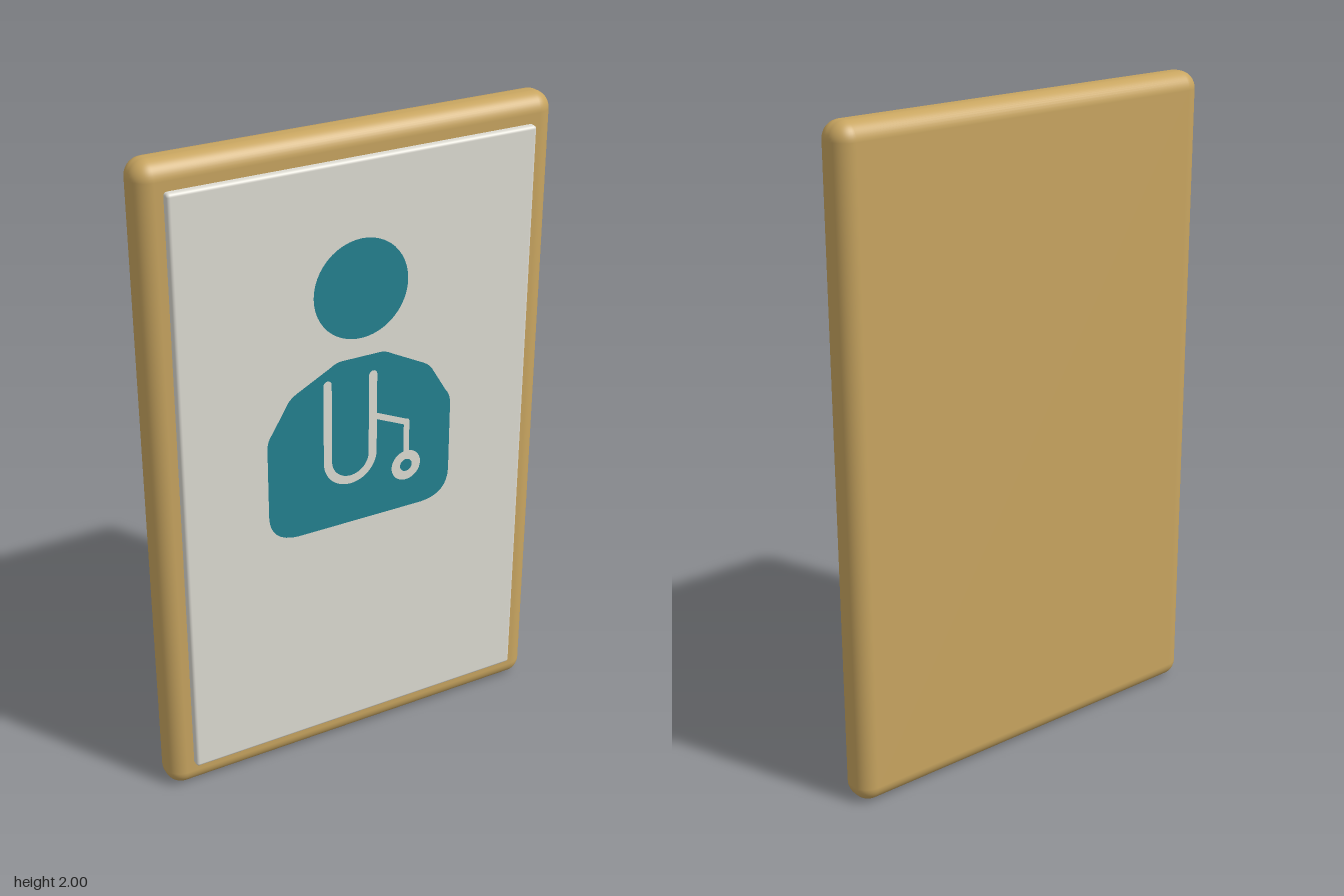
import * as THREE from 'three';
import { RoundedBoxGeometry } from 'three/addons/geometries/RoundedBoxGeometry.js';

const material = (name, color) => {
  const m = new THREE.MeshStandardMaterial({ color });
  m.name = name;
  return m;
};

export function createModel() {
  const wood = material('tan wood', 0xc8a560);
  const cream = material('cream', 0xdedcd3);
  const teal = material('teal', 0x248190);

  const model = new THREE.Group();
  model.name = 'framedSign';
  const add = (parent, name, geometry, mat, x, y, z) => {
    const mesh = new THREE.Mesh(geometry, mat);
    mesh.name = name;
    mesh.position.set(x, y, z);
    parent.add(mesh);
    return mesh;
  };

  // Rounded backing frame and raised panel
  add(model, 'frame', new RoundedBoxGeometry(1.28, 2, 0.118, 6, 0.052), wood, 0, 1, -0.012);
  add(model, 'panel', new RoundedBoxGeometry(1.13, 1.84, 0.05, 3, 0.01), cream, 0, 1, 0.044);

  // Painted figure: head and shoulders
  const figure = new THREE.Group();
  figure.name = 'figure';
  model.add(figure);
  const paintZ = 0.071;
  add(figure, 'head', new THREE.CircleGeometry(0.15, 48), teal, 0, 1.543, paintZ);

  const body = new THREE.Shape();
  body.moveTo(-0.21, 0.8);
  body.lineTo(0.21, 0.8);
  body.quadraticCurveTo(0.3, 0.805, 0.302, 0.89);
  body.lineTo(0.302, 1.11);
  body.quadraticCurveTo(0.302, 1.14, 0.285, 1.16);
  body.lineTo(0.24, 1.235);
  body.quadraticCurveTo(0.23, 1.255, 0.205, 1.268);
  body.lineTo(0.1, 1.322);
  body.quadraticCurveTo(0.08, 1.335, 0.06, 1.335);
  body.lineTo(-0.06, 1.335);
  body.quadraticCurveTo(-0.08, 1.335, -0.1, 1.322);
  body.lineTo(-0.205, 1.268);
  body.quadraticCurveTo(-0.23, 1.255, -0.24, 1.235);
  body.lineTo(-0.285, 1.16);
  body.quadraticCurveTo(-0.302, 1.14, -0.302, 1.11);
  body.lineTo(-0.302, 0.89);
  body.quadraticCurveTo(-0.3, 0.805, -0.21, 0.8);
  add(figure, 'body', new THREE.ShapeGeometry(body, 8), teal, 0, 0, paintZ);

  // Stethoscope drawn with flat strokes over the body
  const stethoscope = new THREE.Group();
  stethoscope.name = 'stethoscope';
  model.add(stethoscope);
  const lineZ = 0.073;
  const stroke = 0.027;
  const line = (name, x1, y1, x2, y2, width = stroke) => {
    const length = Math.hypot(x2 - x1, y2 - y1);
    const mesh = add(stethoscope, name, new THREE.PlaneGeometry(length, width), cream,
      (x1 + x2) / 2, (y1 + y2) / 2, lineZ);
    mesh.rotation.z = Math.atan2(y2 - y1, x2 - x1);
  };

  // U-shaped tube with rounded tips
  const midX = -0.036, bend = 0.074, bendY = 1.02;
  for (const [side, name] of [[-1, 'rightTube'], [1, 'leftTube']]) {
    const x = midX + side * bend;
    line(name, x, bendY, x, 1.27);
    add(stethoscope, name + 'Tip', new THREE.CircleGeometry(stroke / 2, 16), cream, x, 1.27, lineZ);
  }
  add(stethoscope, 'tubeBend',
    new THREE.RingGeometry(bend - stroke / 2, bend + stroke / 2, 32, 1, Math.PI, Math.PI),
    cream, midX, bendY, lineZ);

  // Branch and chest piece
  line('branch', 0.04, 1.138, 0.152, 1.088, 0.019);
  line('drop', 0.152, 1.092, 0.152, 0.98, 0.019);
  add(stethoscope, 'branchElbow', new THREE.CircleGeometry(0.0095, 12), cream, 0.152, 1.09, lineZ);
  add(stethoscope, 'chestPiece', new THREE.RingGeometry(0.02, 0.049, 32), cream, 0.152, 0.943, lineZ);

  return model;
}
